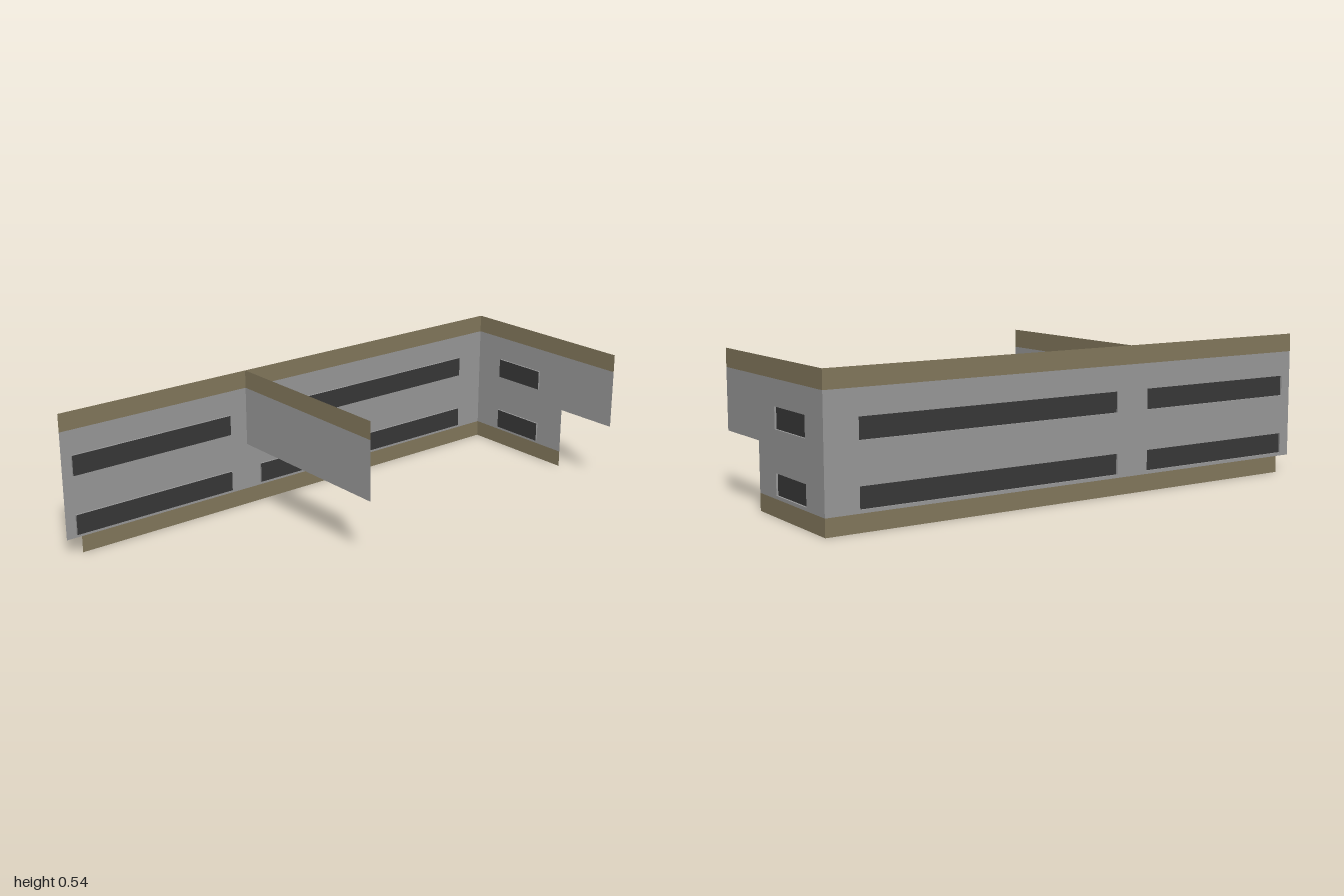
import * as THREE from 'three';

const mat = (name, color) =>
  new THREE.MeshStandardMaterial({ name, color, side: THREE.DoubleSide });

const DEPTH = 0.007; // window reveal depth
const TRIM_Y = 0.468, TOP = 0.536, BASE_Y = 0.063, STEP_Y = 0.243;

export function createModel() {
  const wall = mat('grey wall', 0x979797);
  const trim = mat('tan trim', 0x81765b);
  const glass = mat('dark glass', 0x373737);
  const model = new THREE.Group();
  model.name = 'buildingFacade';

  function add(parent, name, geometry, material) {
    const mesh = new THREE.Mesh(geometry, material);
    mesh.name = name;
    parent.add(mesh);
    return mesh;
  }

  // flat sheet from an outline, with rectangular openings [u0, v0, u1, v1]
  function sheet(parent, name, points, material, openings = []) {
    const shape = new THREE.Shape(points.map(([u, v]) => new THREE.Vector2(u, v)));
    for (const [u0, v0, u1, v1] of openings) {
      shape.holes.push(new THREE.Path([
        new THREE.Vector2(u0, v0), new THREE.Vector2(u0, v1),
        new THREE.Vector2(u1, v1), new THREE.Vector2(u1, v0),
      ]));
    }
    return add(parent, name, new THREE.ShapeGeometry(shape), material);
  }

  const rect = (u0, v0, u1, v1) => [[u0, v0], [u1, v0], [u1, v1], [u0, v1]];

  // pane set back from the wall, joined to it by four reveal strips
  function windowUnit(parent, [u0, v0, u1, v1], inward) {
    const unit = new THREE.Group();
    unit.name = 'window';
    unit.position.set((u0 + u1) / 2, (v0 + v1) / 2, 0);
    const w = u1 - u0, h = v1 - v0;
    add(unit, 'pane', new THREE.PlaneGeometry(w, h), glass).position.z = inward * DEPTH;
    for (const s of [-1, 1]) {
      const sill = add(unit, 'horizontalReveal', new THREE.PlaneGeometry(w, DEPTH), wall);
      sill.rotation.x = Math.PI / 2;
      sill.position.set(0, s * h / 2, inward * DEPTH / 2);
      const jamb = add(unit, 'verticalReveal', new THREE.PlaneGeometry(DEPTH, h), wall);
      jamb.rotation.y = Math.PI / 2;
      jamb.position.set(s * w / 2, 0, inward * DEPTH / 2);
    }
    parent.add(unit);
  }

  // two storeys of windows for each horizontal span
  const storeys = (spans) => spans.flatMap(([a, b]) =>
    [[0.075, 0.151], [0.299, 0.375]].map(([v0, v1]) => [a, v0, b, v1]));

  // long side wall, drawn along z
  const side = new THREE.Group();
  side.name = 'longSideWall';
  side.position.x = -0.371;
  side.rotation.y = -Math.PI / 2;
  const sideWindows = storeys([[-0.875, 0.16], [0.295, 0.96]]);
  sheet(side, 'sideWallPanel', rect(-1, BASE_Y, 1, TRIM_Y), wall, sideWindows);
  sheet(side, 'sideRoofBand', rect(-1, TRIM_Y, 1, TOP), trim);
  sheet(side, 'sideBaseBand', rect(-1, 0, 0.94, BASE_Y), trim);
  sideWindows.forEach((o) => windowUnit(side, o, -1));
  model.add(side);

  // stepped back wall with overhanging upper storey
  const back = new THREE.Group();
  back.name = 'backWall';
  back.position.z = -1;
  const backWindows = storeys([[-0.242, -0.017]]);
  sheet(back, 'backWallPanel', [
    [-0.371, BASE_Y], [0.112, BASE_Y], [0.112, STEP_Y],
    [0.371, STEP_Y], [0.371, TRIM_Y], [-0.371, TRIM_Y],
  ], wall, backWindows);
  sheet(back, 'backRoofBand', rect(-0.371, TRIM_Y, 0.371, TOP), trim);
  sheet(back, 'backBaseBand', rect(-0.371, 0, 0.112, BASE_Y), trim);
  backWindows.forEach((o) => windowUnit(back, o, 1));
  model.add(back);

  // upper cross wall
  const cross = new THREE.Group();
  cross.name = 'crossWall';
  cross.position.z = 0.218;
  sheet(cross, 'crossWallPanel', rect(-0.371, STEP_Y, 0.362, TRIM_Y), wall);
  sheet(cross, 'crossRoofBand', rect(-0.371, TRIM_Y, 0.362, TOP), trim);
  model.add(cross);

  return model;
}
